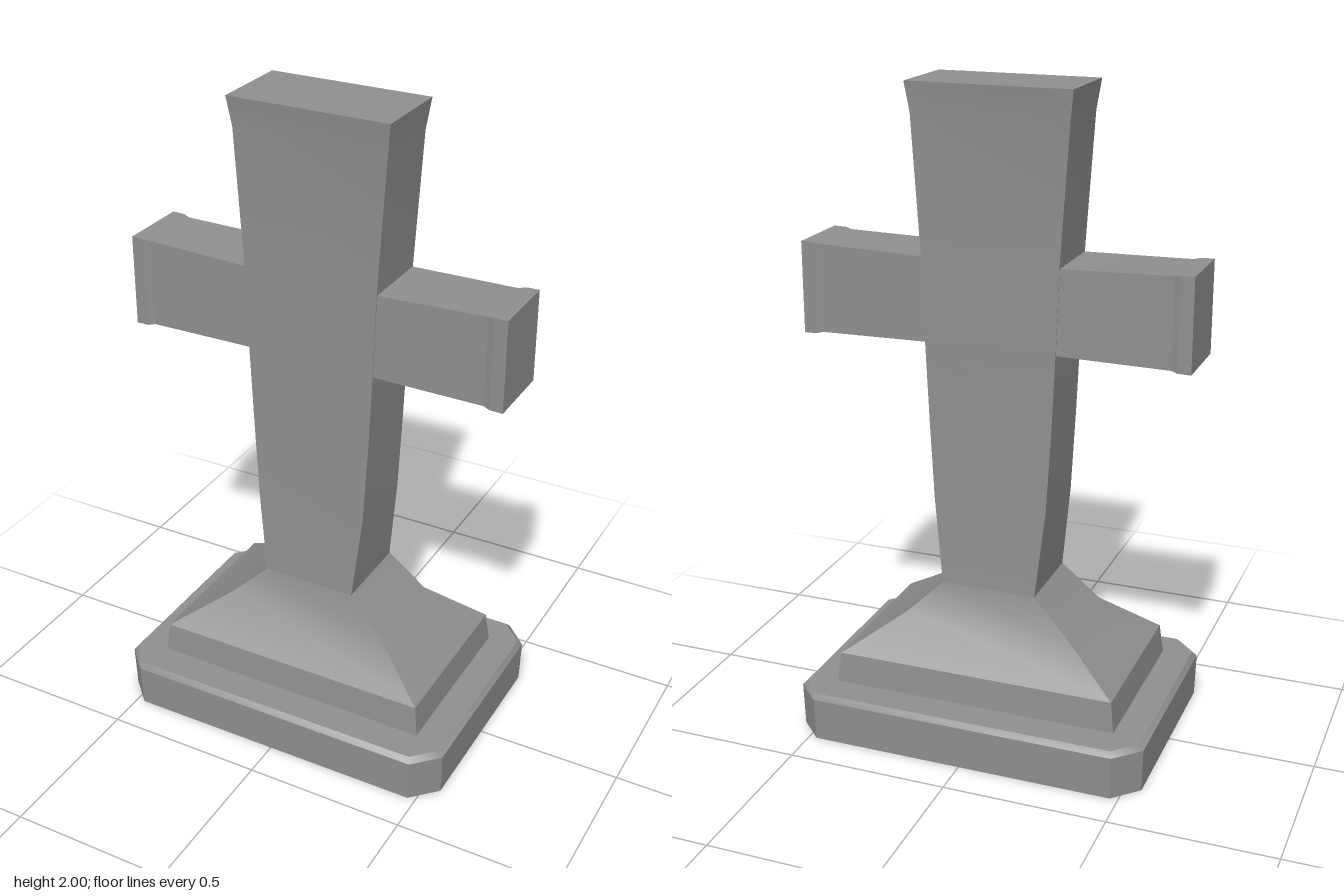
import * as THREE from 'three';
import { toCreasedNormals } from 'three/addons/utils/BufferGeometryUtils.js';

const stone = new THREE.MeshStandardMaterial({ color: 0x8f8f8f });
stone.name = 'grey stone';

// Stacks outlines upward; each level is [y, half width, half depth, corner cut]
function loft(levels, crease = 0.65) {
  const rings = levels.map(([y, w, d, c = 0]) => {
    const outline = c
      ? [[w, d - c], [w - c, d], [c - w, d], [-w, d - c], [-w, c - d], [c - w, -d], [w - c, -d], [w, c - d]]
      : [[w, d], [-w, d], [-w, -d], [w, -d]];
    return outline.map(([x, z]) => [x, y, z]);
  });
  const n = rings[0].length, positions = [], indices = [];
  rings.forEach((ring) => ring.forEach((p) => positions.push(...p)));
  for (let k = 0; k < rings.length - 1; k++) {
    for (let i = 0; i < n; i++) {
      const a = k * n + i, b = k * n + (i + 1) % n;
      indices.push(a, b, b + n, a, b + n, a + n);
    }
  }
  // End caps
  const top = (rings.length - 1) * n;
  for (let i = 1; i < n - 1; i++) {
    indices.push(0, i + 1, i);
    indices.push(top, top + i, top + i + 1);
  }
  // Outlines run clockwise seen from above, so turn each face outward
  for (let i = 0; i < indices.length; i += 3) {
    [indices[i + 1], indices[i + 2]] = [indices[i + 2], indices[i + 1]];
  }
  const geometry = new THREE.BufferGeometry();
  geometry.setAttribute('position', new THREE.Float32BufferAttribute(positions, 3));
  geometry.setIndex(indices);
  return toCreasedNormals(geometry, crease);
}

export function createModel() {
  const model = new THREE.Group();
  model.name = 'stoneCross';
  const add = (name, geometry) => {
    const mesh = new THREE.Mesh(geometry, stone);
    mesh.name = name;
    model.add(mesh);
    return mesh;
  };

  // Bottom slab with cut corners and a narrow worn top edge
  add('plinth', loft([
    [0.005, 0.55, 0.383, 0.075],
    [0.14, 0.553, 0.387, 0.075],
    [0.155, 0.54, 0.372, 0.07],
  ]));

  // Stepped pedestal sloping in to the foot of the shaft
  add('pedestal', loft([
    [0.15, 0.45, 0.275],
    [0.25, 0.438, 0.266],
    [0.37, 0.265, 0.155],
    [0.48, 0.15, 0.133],
  ]));

  // Upright, widening upward to a flared top
  add('shaft', loft([
    [0.47, 0.148, 0.132],
    [0.75, 0.178, 0.118],
    [1.0, 0.192, 0.115],
    [1.25, 0.203, 0.115],
    [1.51, 0.212, 0.115],
    [1.91, 0.238, 0.115],
    [2.0, 0.25, 0.127],
  ], 0.3));

  // Two arms with flared ends
  const armGeometry = loft([
    [0.15, 0.127, 0.114],
    [0.54, 0.136, 0.104],
    [0.56, 0.14, 0.111],
    [0.6, 0.141, 0.111],
  ], 0.3);
  for (const side of [1, -1]) {
    const arm = add(side > 0 ? 'leftArm' : 'rightArm', armGeometry);
    arm.rotation.z = -side * Math.PI / 2;
    arm.position.y = 1.37;
  }

  return model;
}
